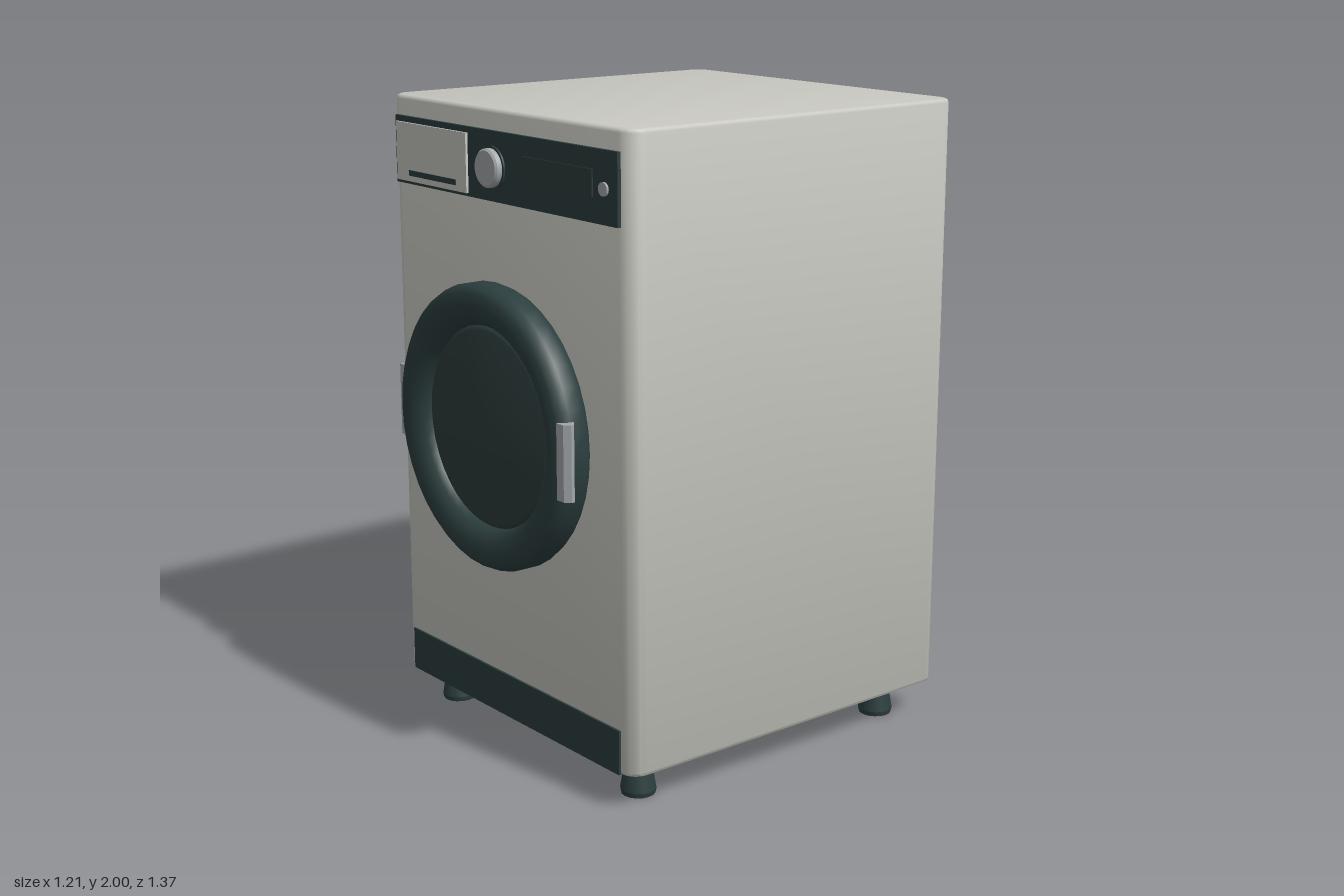
import * as THREE from 'three';
import { toCreasedNormals } from 'three/addons/utils/BufferGeometryUtils.js';

const mat = (name, color) => {
  const m = new THREE.MeshStandardMaterial({ color });
  m.name = name;
  return m;
};

export function createModel() {
  const group = new THREE.Group();
  const enamel = mat('warm grey enamel', 0xc8c8c1);
  const dark = mat('dark green grey', 0x2c3e3e);
  const glass = mat('door glass', 0x2d3b3b);
  const metal = mat('brushed metal', 0xa3a7aa);

  const add = (name, geometry, material, x = 0, y = 0, z = 0) => {
    const mesh = new THREE.Mesh(geometry, material);
    mesh.name = name;
    mesh.position.set(x, y, z);
    group.add(mesh);
    return mesh;
  };
  // Box given by its limits
  const block = (name, material, x0, x1, y0, y1, z0, z1) =>
    add(name, new THREE.BoxGeometry(x1 - x0, y1 - y0, z1 - z0), material,
      (x0 + x1) / 2, (y0 + y1) / 2, (z0 + z1) / 2);
  // Surface turned about an axis that points to the front; points are [radius, depth]
  const turned = (name, points, material, x, y, z, segments = 32) => {
    const geometry = new THREE.LatheGeometry(points.map(p => new THREE.Vector2(...p)), segments);
    geometry.rotateX(Math.PI / 2);
    return add(name, toCreasedNormals(geometry, 0.7), material, x, y, z);
  };
  // Upright bar with a cross-section of [x, z] points
  const bar = (name, points, material, y0, y1) => {
    const shape = new THREE.Shape(points.map(([x, z]) => new THREE.Vector2(x, -z)));
    const geometry = new THREE.ExtrudeGeometry(shape, { depth: y1 - y0, bevelEnabled: false });
    geometry.rotateX(-Math.PI / 2);
    return add(name, geometry, material, 0, y0, 0);
  };

  // Cabinet: rounded plan with a small bevel at top and bottom
  const bevel = 0.012, w = 0.605 - bevel, d = 0.63 - bevel, r = 0.043;
  const plan = new THREE.Shape();
  plan.moveTo(-w + r, -d);
  plan.lineTo(w - r, -d);
  plan.absarc(w - r, -d + r, r, -Math.PI / 2, 0);
  plan.absarc(w - r, d - r, r, 0, Math.PI / 2);
  plan.absarc(-w + r, d - r, r, Math.PI / 2, Math.PI);
  plan.absarc(-w + r, -d + r, r, Math.PI, Math.PI * 1.5);
  const cabinet = new THREE.ExtrudeGeometry(plan, {
    depth: 1.89 - 2 * bevel, bevelSize: bevel, bevelThickness: bevel, bevelSegments: 2, curveSegments: 4,
  });
  cabinet.rotateX(-Math.PI / 2);
  add('cabinet', toCreasedNormals(cabinet, 0.8), enamel, 0, 0.11 + bevel, -0.055);

  // Feet
  for (const x of [-0.48, 0.48]) {
    for (const z of [-0.535, 0.455]) {
      add('foot', new THREE.CylinderGeometry(0.038, 0.055, 0.1, 16), dark, x, 0.065, z);
      add('footPad', new THREE.CylinderGeometry(0.055, 0.052, 0.015, 16), dark, x, 0.0075, z);
    }
  }

  // Plinth strip
  block('plinth', dark, -0.55, 0.55, 0.112, 0.25, 0.57, 0.582);

  // Control panel with drawer, dial, display and button
  block('controlPanel', dark, -0.56, 0.56, 1.73, 1.938, 0.57, 0.586);
  block('detergentDrawer', enamel, -0.545, -0.163, 1.74, 1.92, 0.58, 0.594);
  block('drawerGrip', dark, -0.475, -0.217, 1.758, 1.775, 0.59, 0.597);
  block('display', glass, 0.12, 0.45, 1.803, 1.88, 0.58, 0.59);
  turned('dialCollar', [[0.065, 0], [0.065, 0.012], [0, 0.012]], dark, -0.035, 1.83, 0.58);
  turned('dial', [[0.058, 0], [0.058, 0.028], [0.052, 0.034], [0, 0.034]], metal, -0.035, 1.83, 0.58);
  turned('button', [[0.02, 0], [0.02, 0.013], [0, 0.013]], metal, 0.502, 1.83, 0.58, 16);

  // Round door: rim and recessed glass
  turned('doorRim', [
    [0.41, 0], [0.428, 0.012], [0.437, 0.03], [0.437, 0.078], [0.428, 0.098], [0.41, 0.112],
    [0.375, 0.112], [0.345, 0.104], [0.322, 0.088], [0.31, 0.068], [0.308, 0.05],
  ], dark, 0, 1.06, 0.575, 40);
  turned('doorGlass', [[0.312, 0.06], [0.306, 0.07], [0.295, 0.074], [0, 0.074]], glass, 0, 1.06, 0.575, 40);

  // Hinge on one side, handle on the other
  bar('doorHinge', [[-0.475, 0.602], [-0.41, 0.602], [-0.41, 0.65], [-0.475, 0.65]].reverse(),
    metal, 0.943, 1.17);
  bar('doorHandle', [
    [0.4, 0.645], [0.428, 0.642], [0.452, 0.66], [0.452, 0.67], [0.435, 0.686], [0.405, 0.688],
  ].reverse(), metal, 0.938, 1.165);

  return group;
}
